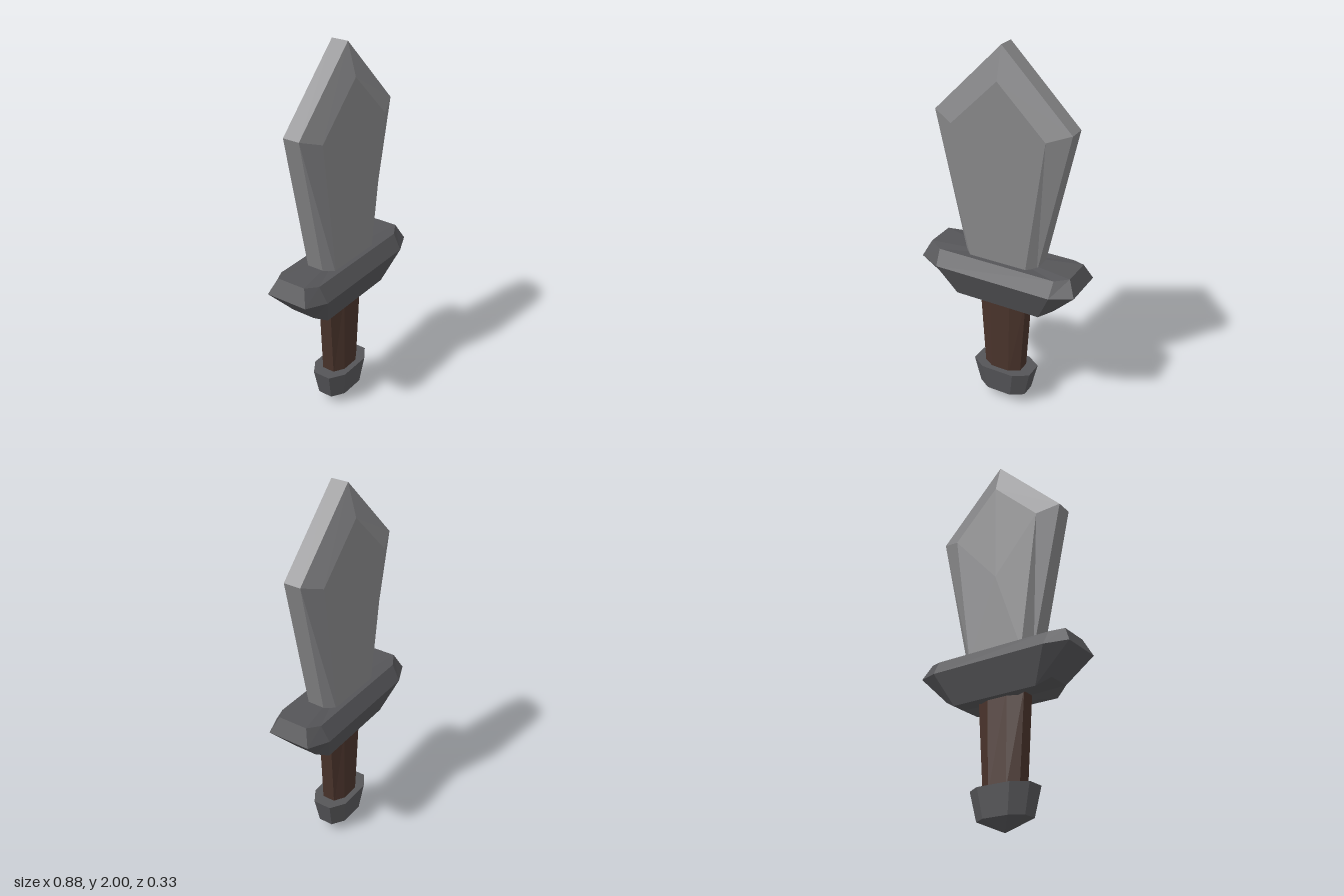
import * as THREE from 'three';

const material = (name, color) => {
  const m = new THREE.MeshStandardMaterial({ color });
  m.name = name;
  return m;
};

// Eight-cornered ring: end corners at (ex, ey, ez), middle corners at (mx, my, mz)
function octagon(ex, ey, ez, mx, my, mz) {
  const right = [[ex, ey, -ez], [ex, ey, ez], [mx, my, mz]];
  return [
    ...right,
    [-mx, my, mz], [-ex, ey, ez], [-ex, ey, -ez], [-mx, my, -mz],
    [mx, my, -mz],
  ];
}

// Skin joining successive rings, closed by a fan at each end
function loft(rings, startCentre, endCentre) {
  const p = [];
  const n = rings[0].length;
  const last = rings[rings.length - 1];
  for (let i = 0; i < n; i++) {
    const j = (i + 1) % n;
    for (let r = 0; r < rings.length - 1; r++) {
      const a = rings[r], b = rings[r + 1];
      p.push(...a[i], ...b[i], ...a[j], ...a[j], ...b[i], ...b[j]);
    }
    p.push(...startCentre, ...rings[0][i], ...rings[0][j]);
    p.push(...endCentre, ...last[j], ...last[i]);
  }
  const g = new THREE.BufferGeometry();
  g.setAttribute('position', new THREE.Float32BufferAttribute(p, 3));
  g.computeVertexNormals(); // unshared corners give flat facets
  return g;
}

// Blade outline at depth z, clockwise from the lower left
const bladeRing = (z, base, shoulder, shoulderY, tipY) => [
  [-base, 0.86, z], [-shoulder, shoulderY, z], [0, tipY, z],
  [shoulder, shoulderY, z], [base, 0.86, z],
];

export function createModel() {
  const group = new THREE.Group();
  const steel = material('blade steel', 0x868688);
  const iron = material('dark iron', 0x555558);
  const leather = material('brown grip', 0x49332b);
  steel.flatShading = iron.flatShading = leather.flatShading = true;

  const add = (name, geometry, mat) => {
    const mesh = new THREE.Mesh(geometry, mat);
    mesh.name = name;
    group.add(mesh);
  };

  // Blade: bevelled faces either side of a flat edge band
  add('blade', loft([
    bladeRing(-0.09, 0.155, 0.255, 1.59, 1.84),
    bladeRing(-0.045, 0.2, 0.37, 1.63, 2),
    bladeRing(0.045, 0.2, 0.37, 1.63, 2),
    bladeRing(0.09, 0.155, 0.255, 1.59, 1.84),
  ], [0, 1.3, -0.09], [0, 1.3, 0.09]), steel);

  // Guard: widest at its upper ridge, ends swept up
  add('guard', loft([
    octagon(0.31, 0.68, 0.065, 0.24, 0.64, 0.1),
    octagon(0.44, 0.82, 0.115, 0.325, 0.81, 0.163),
    octagon(0.4, 0.903, 0.08, 0.33, 0.89, 0.117),
  ], [0, 0.64, 0], [0, 0.89, 0]), iron);

  // Grip: tapers towards the pommel
  add('grip', loft([
    octagon(0.105, 0.18, 0.035, 0.05, 0.18, 0.068),
    octagon(0.136, 0.68, 0.035, 0.058, 0.68, 0.07),
  ], [0, 0.18, 0], [0, 0.68, 0]), leather);

  // Pommel: flared cap with a shallow point underneath
  add('pommel', loft([
    octagon(0.137, 0.06, 0.04, 0.07, 0.06, 0.083),
    octagon(0.17, 0.208, 0.05, 0.092, 0.208, 0.1),
  ], [0, 0, 0], [0, 0.208, 0]), iron);

  return group;
}
